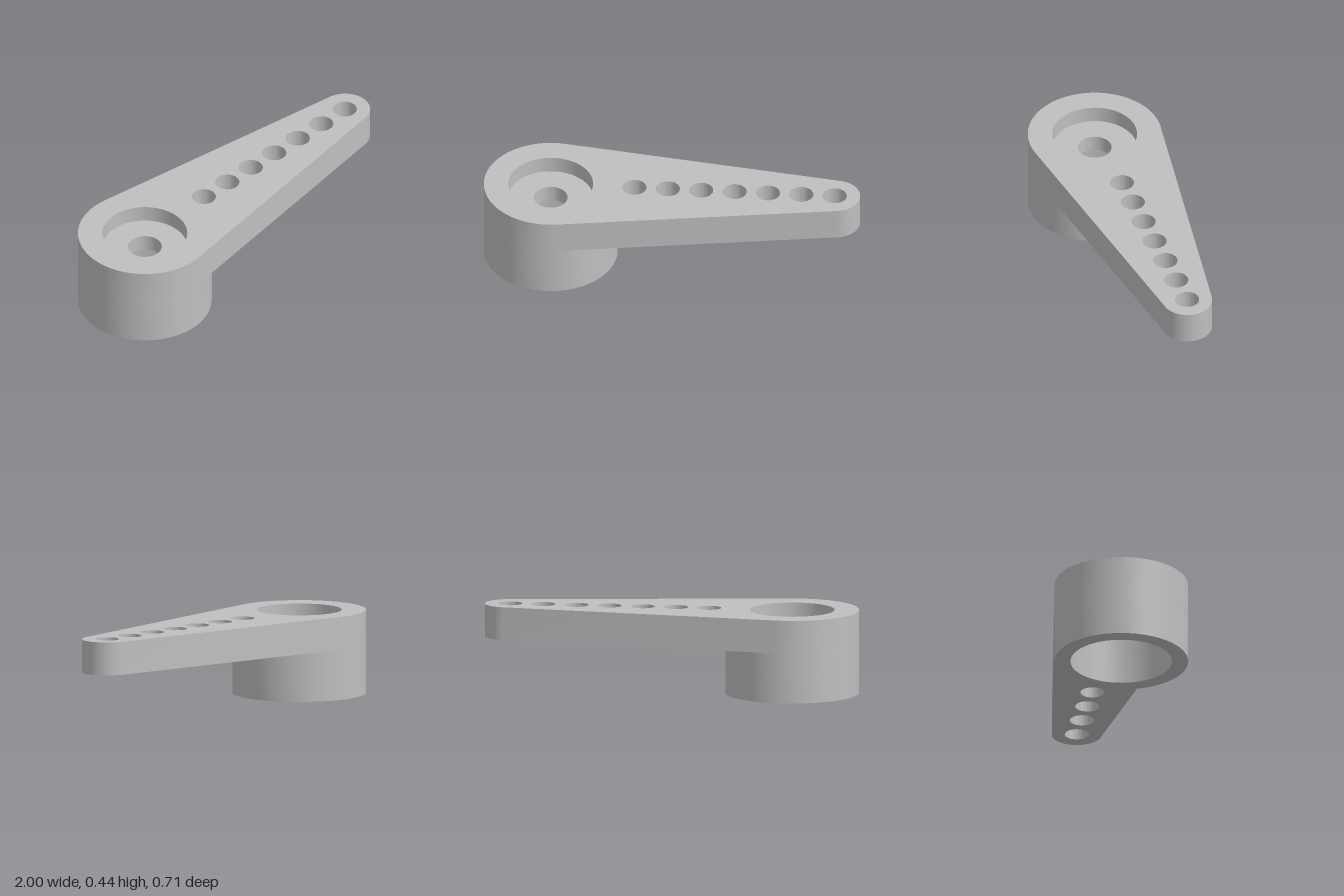
import * as THREE from 'three';
import { toCreasedNormals } from 'three/addons/utils/BufferGeometryUtils.js';

const HUB_X = -0.645, HUB_R = 0.355;
const TIP_X = 0.868, TIP_R = 0.132;
const TOP = 0.445, UNDER = 0.268, SEAT = 0.355;
const BORE_R = 0.225, SCREW_R = 0.09, SOCKET_R = 0.27;
const HOLE_R = 0.064;
const HOLES = Array.from({ length: 7 }, (_, i) => 0.865 - 0.1775 * i);
// Angle at which the straight sides touch both round ends
const TANGENT = Math.acos((HUB_R - TIP_R) / (TIP_X - HUB_X));

function addHole(shape, x, r) {
  shape.holes.push(new THREE.Path().absarc(x, 0, r, 0, Math.PI * 2, true));
}

// Surface of revolution from [radius, y] pairs
function revolve(pairs, x) {
  const points = pairs.map(([r, y]) => new THREE.Vector2(r, y));
  return toCreasedNormals(new THREE.LatheGeometry(points, 64), 0.6).translate(x, 0, 0);
}

// Vertical wall along an anticlockwise outline
function wall(points, y0, y1) {
  const pos = [];
  points.forEach((p, i) => {
    const q = points[(i + 1) % points.length];
    pos.push(p.x, y0, -p.y, q.x, y0, -q.y, q.x, y1, -q.y);
    pos.push(p.x, y0, -p.y, q.x, y1, -q.y, p.x, y1, -p.y);
  });
  const geo = new THREE.BufferGeometry();
  geo.setAttribute('position', new THREE.Float32BufferAttribute(pos, 3));
  return toCreasedNormals(geo, 0.5);
}

export function createModel() {
  const group = new THREE.Group();
  const grey = new THREE.MeshStandardMaterial({ color: 0xbfbfbf });
  grey.name = 'grey plastic';
  const add = (name, geo) => {
    const mesh = new THREE.Mesh(geo, grey);
    mesh.name = name;
    group.add(mesh);
  };

  // Tapered top face with the hub recess and the row of holes
  const top = new THREE.Shape();
  top.absarc(HUB_X, 0, HUB_R, TANGENT, Math.PI * 2 - TANGENT, false);
  top.absarc(TIP_X, 0, TIP_R, -TANGENT, TANGENT, false);
  const outline = top.getPoints(32);
  addHole(top, HUB_X, BORE_R);
  HOLES.forEach((x) => addHole(top, x, HOLE_R));
  add('armTop', new THREE.ShapeGeometry(top, 32).rotateX(-Math.PI / 2).translate(0, TOP, 0));

  // Underside of the arm, cut away around the hub
  const under = new THREE.Shape();
  under.absarc(TIP_X, 0, TIP_R, -TANGENT, TANGENT, false);
  under.absarc(HUB_X, 0, HUB_R, TANGENT, -TANGENT, true);
  HOLES.forEach((x) => addHole(under, x, HOLE_R));
  add('armUnderside', new THREE.ShapeGeometry(under, 32).rotateX(Math.PI / 2).translate(0, UNDER, 0));

  // Outer edge of the arm
  add('armEdge', wall(outline, UNDER, TOP));

  // Hub: screw recess, screw hole, shaft socket and outer barrel
  add('hub', revolve([
    [BORE_R, TOP], [BORE_R, SEAT], [SCREW_R, SEAT], [SCREW_R, UNDER],
    [SOCKET_R, UNDER], [SOCKET_R, 0], [HUB_R, 0], [HUB_R, UNDER],
  ], HUB_X));

  // Linkage hole linings
  HOLES.forEach((x) => add('linkageHole', revolve([[HOLE_R, TOP], [HOLE_R, UNDER]], x)));

  return group;
}
